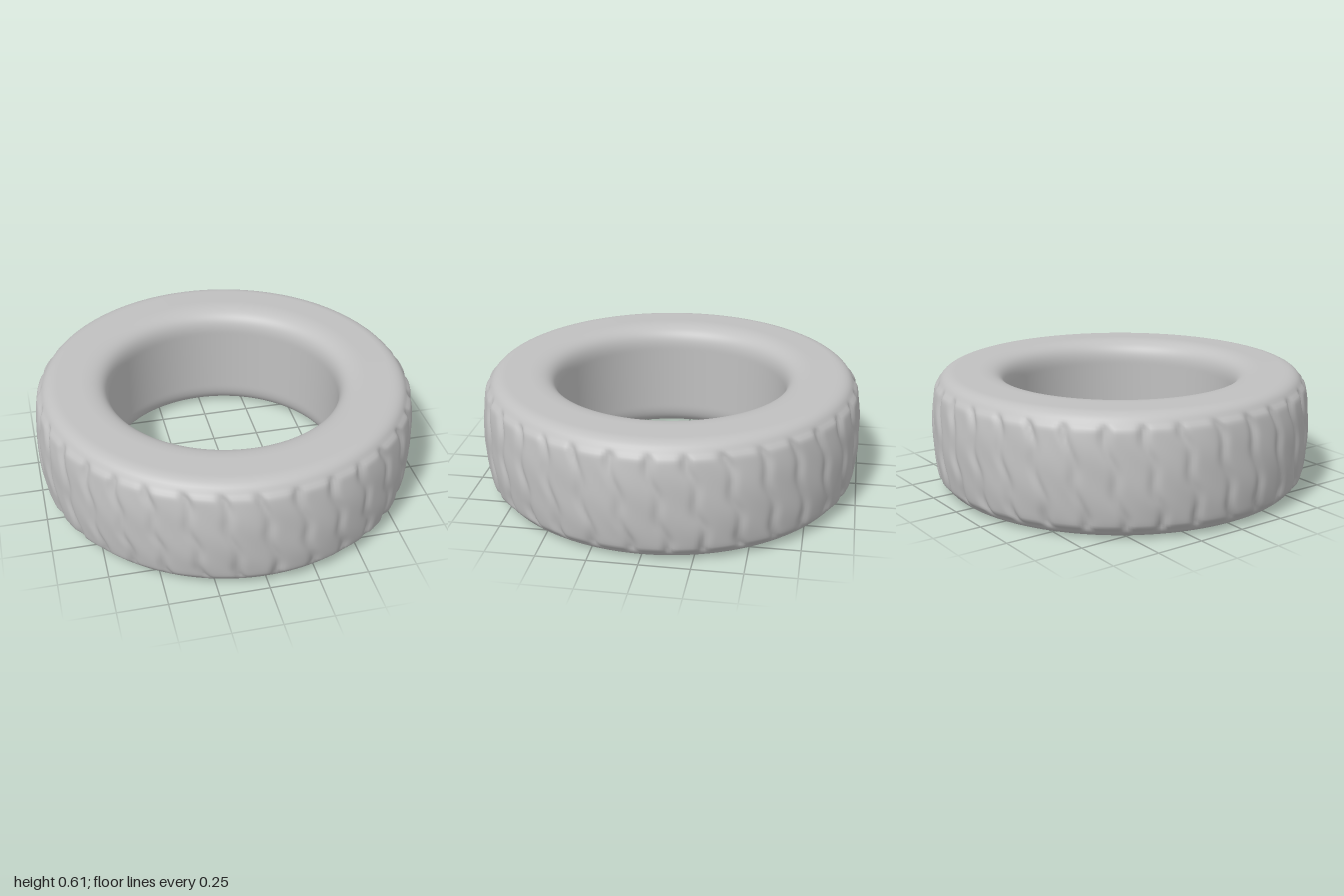
import * as THREE from 'three';
import { mergeVertices } from 'three/addons/utils/BufferGeometryUtils.js';

const BLOCKS = 34;      // tread blocks around the tyre
const SLANT = 0.2;      // groove lean, radians per unit of height
const RAISE = 0.014;    // how far the blocks stand out of the carcass
const { smoothstep } = THREE.MathUtils;

// Closed cross-section: x is the radius, y the height
function tyreProfile() {
  const p = new THREE.Path();
  p.moveTo(0.984, 0.31);
  p.bezierCurveTo(0.984, 0.40, 0.978, 0.46, 0.968, 0.52);
  p.bezierCurveTo(0.956, 0.58, 0.935, 0.607, 0.88, 0.612);
  p.lineTo(0.74, 0.614);
  p.bezierCurveTo(0.66, 0.612, 0.605, 0.59, 0.605, 0.49);
  p.lineTo(0.605, 0.13);
  p.bezierCurveTo(0.605, 0.03, 0.66, 0.007, 0.74, 0.005);
  p.lineTo(0.88, 0.007);
  p.bezierCurveTo(0.935, 0.012, 0.956, 0.04, 0.968, 0.10);
  p.bezierCurveTo(0.978, 0.16, 0.984, 0.22, 0.984, 0.31);
  return p.getSpacedPoints(140);
}

// Height of the tread relief at an angle and height
function treadRelief(angle, y) {
  const wobble = 0.012 * Math.sin(y * 26 + Math.sin(angle * 5) * 2);
  const turn = ((angle + SLANT * (y - 0.31) + wobble) / (2 * Math.PI)) * BLOCKS;
  const u = turn - Math.floor(turn);
  const d = Math.min(u, 1 - u);
  const edge = smoothstep(Math.abs(y - 0.31), 0.12, 0.24);
  const groove = (0.013 + 0.009 * edge) * Math.exp(-((d / 0.13) ** 2));
  const dent = 0.002 * Math.sin(angle * 17 + y * 9) * Math.sin(y * 21 + angle * 6);
  const band = smoothstep(y, 0.045, 0.075) * (1 - smoothstep(y, 0.54, 0.57));
  return band * (RAISE - groove - 0.004 * u * (1 - u) + dent);
}

export function createModel() {
  const group = new THREE.Group();
  group.name = 'tyre';
  const rubber = new THREE.MeshStandardMaterial({ color: 0xc0c0c0 });
  rubber.name = 'grey rubber';

  // Carcass, with slanted blocks pushed out of the outer wall
  const lathe = new THREE.LatheGeometry(tyreProfile(), BLOCKS * 12);
  lathe.deleteAttribute('uv');
  lathe.deleteAttribute('normal');
  const geometry = mergeVertices(lathe, 1e-4);
  const pos = geometry.attributes.position;
  for (let i = 0; i < pos.count; i++) {
    const x = pos.getX(i), y = pos.getY(i), z = pos.getZ(i);
    const r = Math.hypot(x, z);
    if (r < 0.9) continue;
    const k = 1 + treadRelief(Math.atan2(x, z), y) / r;
    pos.setXYZ(i, x * k, y, z * k);
  }
  geometry.computeVertexNormals();

  const tyre = new THREE.Mesh(geometry, rubber);
  tyre.name = 'treadedTyre';
  group.add(tyre);
  return group;
}
